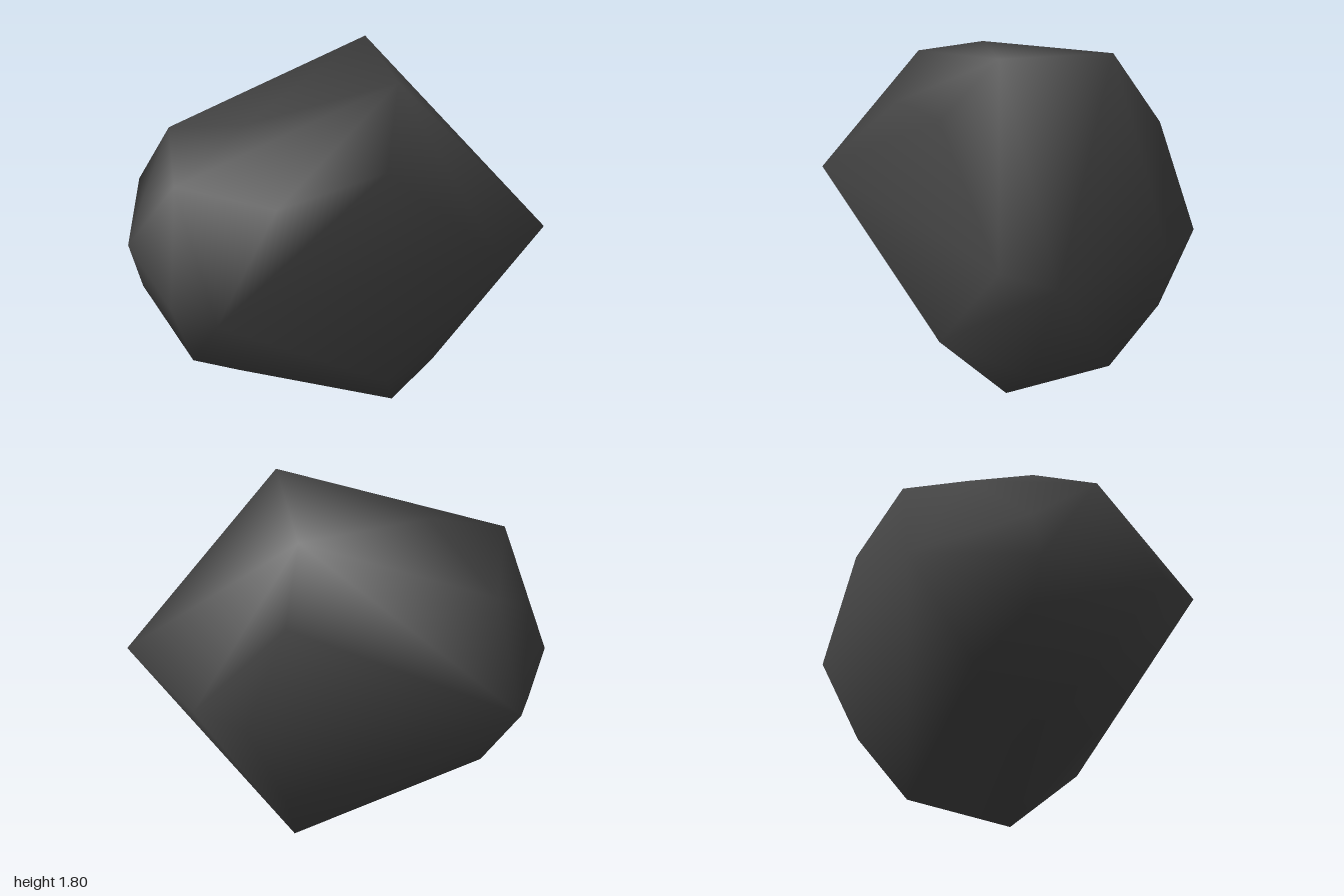
import * as THREE from 'three';
import { ConvexGeometry } from 'three/addons/geometries/ConvexGeometry.js';
import { mergeVertices } from 'three/addons/utils/BufferGeometryUtils.js';

// Widest outline of the boulder, as x, z at half height
const WAIST_Y = 0.87;
const waist = [
  [-0.27, -0.85], [-0.74, -0.40], [-1, 0.21], [-0.94, 0.48],
  [0.55, 0.85], [0.90, 0.80], [1, 0.12], [0.90, -0.18],
];

// Corners of the upper half
const crown = [
  [0.23, 1.80, 0.49], [0.49, 1.73, -0.05], [-0.33, 1.56, -0.01],
  [-0.77, 1.37, -0.03], [-0.50, 1.33, 0.42], [0, 1.46, 0.67],
  [0.67, 1.37, -0.19], [-0.37, 1.34, -0.52], [-0.66, 1.12, -0.38],
];

// Corners of the lower half
const base = [
  [0.23, 0, 0.44], [0.49, 0.07, -0.02], [-0.37, 0.20, 0],
  [-0.67, 0.37, 0], [-0.50, 0.41, 0.42], [0, 0.28, 0.67],
  [0.66, 0.39, -0.19], [-0.33, 0.40, -0.43], [-0.66, 0.62, -0.38],
  [0.44, 0.17, 0.50],
];

export function createModel() {
  const group = new THREE.Group();
  group.name = 'rock';

  const stone = new THREE.MeshStandardMaterial({ color: 0x444444 });
  stone.name = 'darkStone';

  const points = [...waist.map(([x, z]) => [x, WAIST_Y, z]), ...crown, ...base]
    .map((p) => new THREE.Vector3(...p));

  // Share the corners so the shading flows smoothly over the edges
  const hull = new ConvexGeometry(points);
  hull.deleteAttribute('normal');
  const geometry = mergeVertices(hull, 1e-4);
  geometry.computeVertexNormals();

  const boulder = new THREE.Mesh(geometry, stone);
  boulder.name = 'boulder';
  group.add(boulder);
  return group;
}
